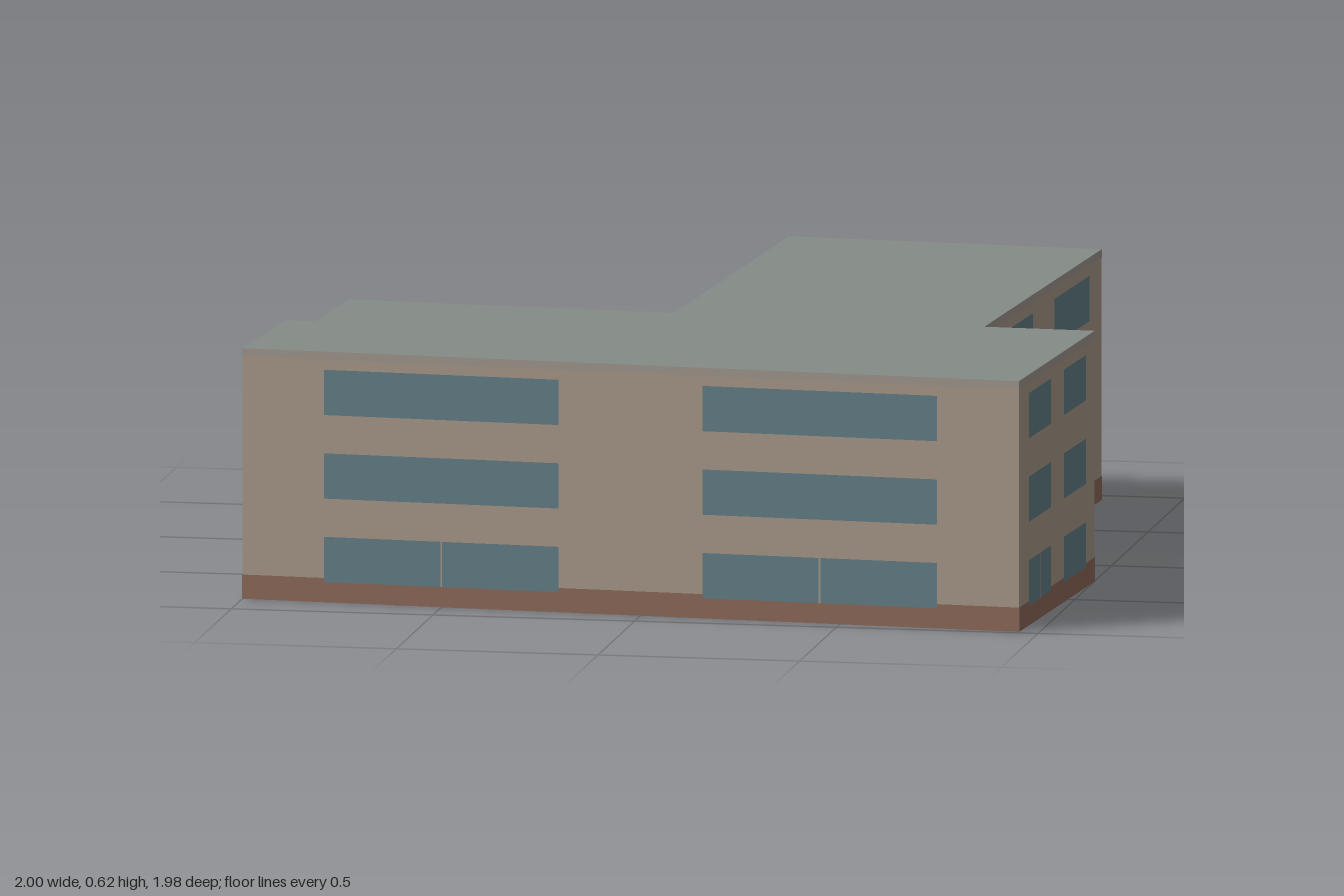
import * as THREE from 'three';

const HEIGHT = 0.62, FLOORS = 3, PLINTH = 0.06, COPING = 0.02;

// Footprint corners as [x, z], walked so the outside is on the right of each wall
const FOOTPRINT = [
  [-1, 0.85], [0.95, 0.985], [1, 0.23], [0.725, 0.22], [0.805, -0.94],
  [0.02, -0.99], [-0.055, 0.16], [-0.87, 0.105], [-0.895, 0.435], [-0.97, 0.435],
];

const mat = (color, side = THREE.FrontSide) =>
  new THREE.MeshStandardMaterial({ color, side });

export function createModel() {
  const wallMat = mat(0xb3a392, THREE.DoubleSide);
  const roofMat = mat(0x858c88, THREE.DoubleSide);
  const plinthMat = mat(0x96705f);
  const copingMat = mat(0xa9a196);
  const glassMat = mat(0x6a8790);
  const mullionMat = mat(0xb3a392);

  const building = new THREE.Group();
  building.name = 'building';

  // Upright rectangle in a wall's own frame: x along the wall, z outward
  const panel = (parent, name, material, x, y, w, h, out) => {
    const mesh = new THREE.Mesh(new THREE.PlaneGeometry(w, h), material);
    mesh.name = name;
    mesh.position.set(x, y + h / 2, out);
    parent.add(mesh);
  };

  FOOTPRINT.forEach(([x0, z0], i) => {
    const [x1, z1] = FOOTPRINT[(i + 1) % FOOTPRINT.length];
    const dx = x1 - x0, dz = z1 - z0, length = Math.hypot(dx, dz);
    const side = new THREE.Group();
    side.name = `facade${i + 1}`;
    side.position.set((x0 + x1) / 2, 0, (z0 + z1) / 2);
    side.rotation.y = -Math.atan2(dz, dx);
    building.add(side);

    panel(side, 'wall', wallMat, 0, 0, length, HEIGHT, 0);
    panel(side, 'plinth', plinthMat, 0, 0, length, PLINTH, 0.001);
    panel(side, 'coping', copingMat, 0, HEIGHT - COPING, length, COPING, 0.001);

    // Window bays: two on long walls, one on short walls, none on the small step
    const bays = length > 0.6 ? 2 : length > 0.2 ? 1 : 0;
    const bay = (length - 0.05) / Math.max(bays, 1);
    for (let b = 0; b < bays; b++) {
      const x = (b - (bays - 1) / 2) * bay;
      for (let f = 0; f < FLOORS; f++) {
        const y = 0.05 + f * HEIGHT / FLOORS;
        panel(side, 'window', glassMat, x, y, bay * 0.62, 0.112, 0.002);
        if (f === 0) panel(side, 'mullion', mullionMat, x, y, 0.004, 0.112, 0.003);
      }
    }
  });

  // Flat roof over the whole footprint
  const outline = new THREE.Shape(FOOTPRINT.map(([x, z]) => new THREE.Vector2(x, -z)));
  const roof = new THREE.Mesh(new THREE.ShapeGeometry(outline).rotateX(-Math.PI / 2), roofMat);
  roof.name = 'roof';
  roof.position.y = HEIGHT;
  building.add(roof);

  return building;
}
